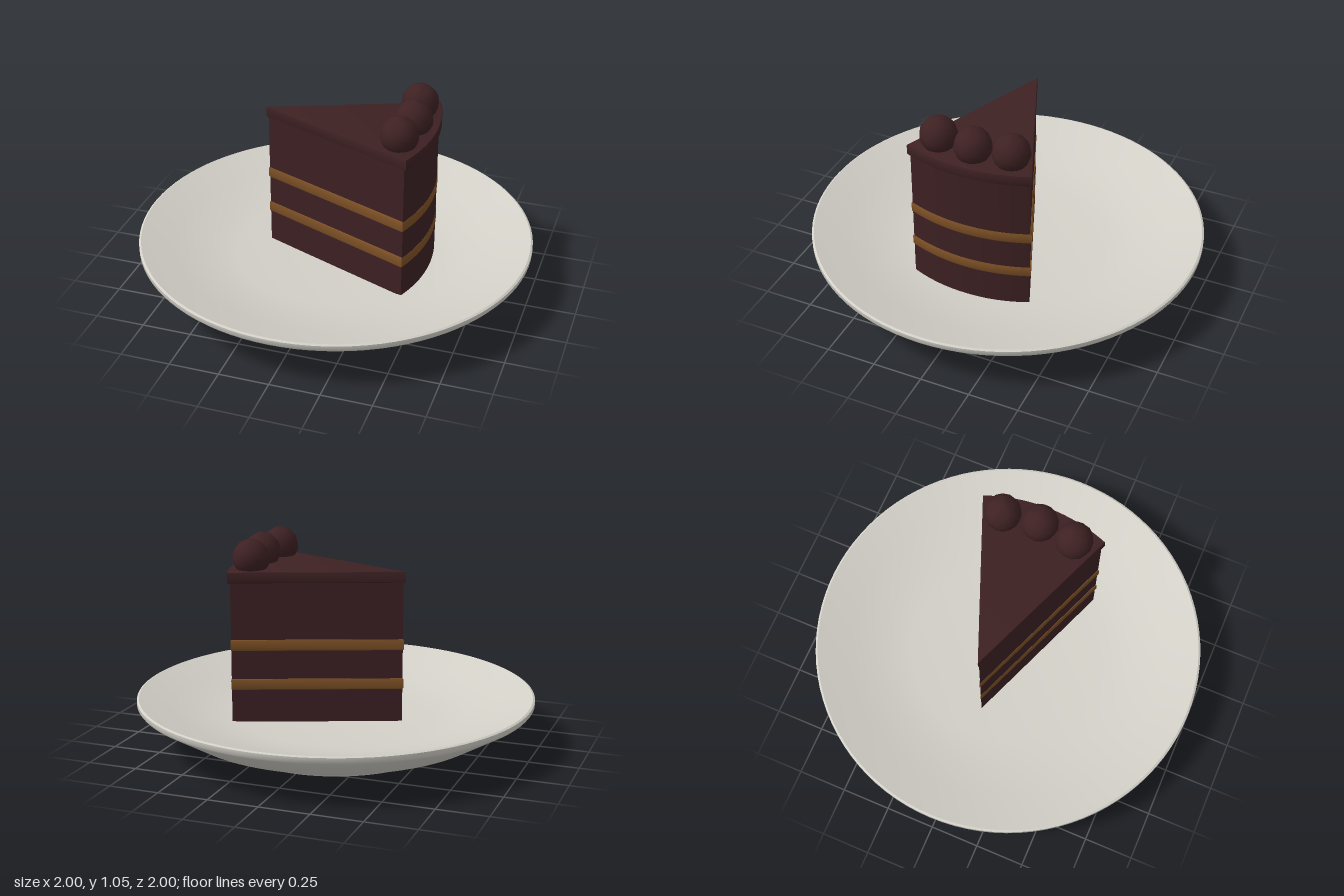
import * as THREE from 'three';
import { toCreasedNormals, mergeVertices } from 'three/addons/utils/BufferGeometryUtils.js';

const chocolate = new THREE.MeshStandardMaterial({ name: 'chocolate', color: 0x3e2123 });
const caramel = new THREE.MeshStandardMaterial({ name: 'caramel', color: 0x7e5126 });
const ceramic = new THREE.MeshStandardMaterial({ name: 'ceramic', color: 0xd3d0c8 });

function addMesh(group, name, geometry, material) {
  const mesh = new THREE.Mesh(geometry, material);
  mesh.name = name;
  group.add(mesh);
  return mesh;
}

// Wedge of cake between two heights, pointing to -x, with an optional soft edge
function wedge(tipX, radius, halfAngle, y0, y1, bevel = 0) {
  const shape = new THREE.Shape();
  shape.moveTo(tipX, 0);
  shape.lineTo(tipX + radius * Math.cos(halfAngle), -radius * Math.sin(halfAngle));
  shape.absarc(tipX, 0, radius, -halfAngle, halfAngle, false);
  shape.closePath();
  const geometry = new THREE.ExtrudeGeometry(shape, {
    depth: y1 - y0 - 2 * bevel,
    curveSegments: 16,
    bevelEnabled: bevel > 0,
    bevelSize: bevel,
    bevelThickness: bevel,
    bevelSegments: 2,
  });
  geometry.rotateX(-Math.PI / 2).translate(0, y0 + bevel, 0);
  return toCreasedNormals(geometry, 0.6);
}

// Slightly lumpy ball with a small peak on top
function truffleGeometry(radius) {
  const geometry = new THREE.SphereGeometry(radius, 16, 12);
  const p = geometry.attributes.position;
  const v = new THREE.Vector3();
  for (let i = 0; i < p.count; i++) {
    v.fromBufferAttribute(p, i);
    const n = v.clone().normalize();
    const lump = 1 + 0.04 * Math.sin(7 * n.x + 2) * Math.sin(6 * n.y) * Math.cos(7 * n.z + 1);
    v.multiplyScalar(lump);
    if (n.y > 0.99) v.y += 0.006;
    p.setXYZ(i, v.x, v.y, v.z);
  }
  geometry.deleteAttribute('uv');
  geometry.deleteAttribute('normal');
  const merged = mergeVertices(geometry, 1e-4);
  merged.computeVertexNormals();
  return merged;
}

export function createModel() {
  const model = new THREE.Group();
  model.name = 'cakeSliceOnPlate';

  // Plate: foot, sloping underside, thin rim and shallow dished top
  const profile = [
    [0, 0], [0.55, 0], [0.6, 0.05], [0.78, 0.093], [0.99, 0.218], [1, 0.23], [1, 0.252],
    [0.99, 0.257], [0.82, 0.203], [0.65, 0.157], [0.5, 0.138], [0, 0.137],
  ].map(([r, y]) => new THREE.Vector2(r, y));
  addMesh(model, 'plate', toCreasedNormals(new THREE.LatheGeometry(profile, 96), 0.7), ceramic);

  // Cake slice: sponge body, two fillings and the icing slab
  const slice = new THREE.Group();
  slice.name = 'cakeSlice';
  model.add(slice);
  const half = 0.376;
  addMesh(slice, 'sponge', wedge(-0.352, 0.846, half, 0.13, 0.86), chocolate);
  for (const [name, y] of [['lowerFilling', 0.303], ['upperFilling', 0.503]]) {
    addMesh(slice, name, wedge(-0.347, 0.836, half, y, y + 0.058, 0.008), caramel);
  }
  addMesh(slice, 'icing', wedge(-0.357, 0.86, half, 0.845, 0.9, 0.005), chocolate);

  // Row of truffles along the curved edge
  const ball = truffleGeometry(0.092);
  [[0.375, -0.187], [0.395, 0], [0.375, 0.187]].forEach(([x, z], i) => {
    const truffle = addMesh(slice, 'truffle' + (i + 1), ball, chocolate);
    truffle.position.set(x, 0.953, z);
    truffle.rotation.y = i * 1.3;
  });

  return model;
}
